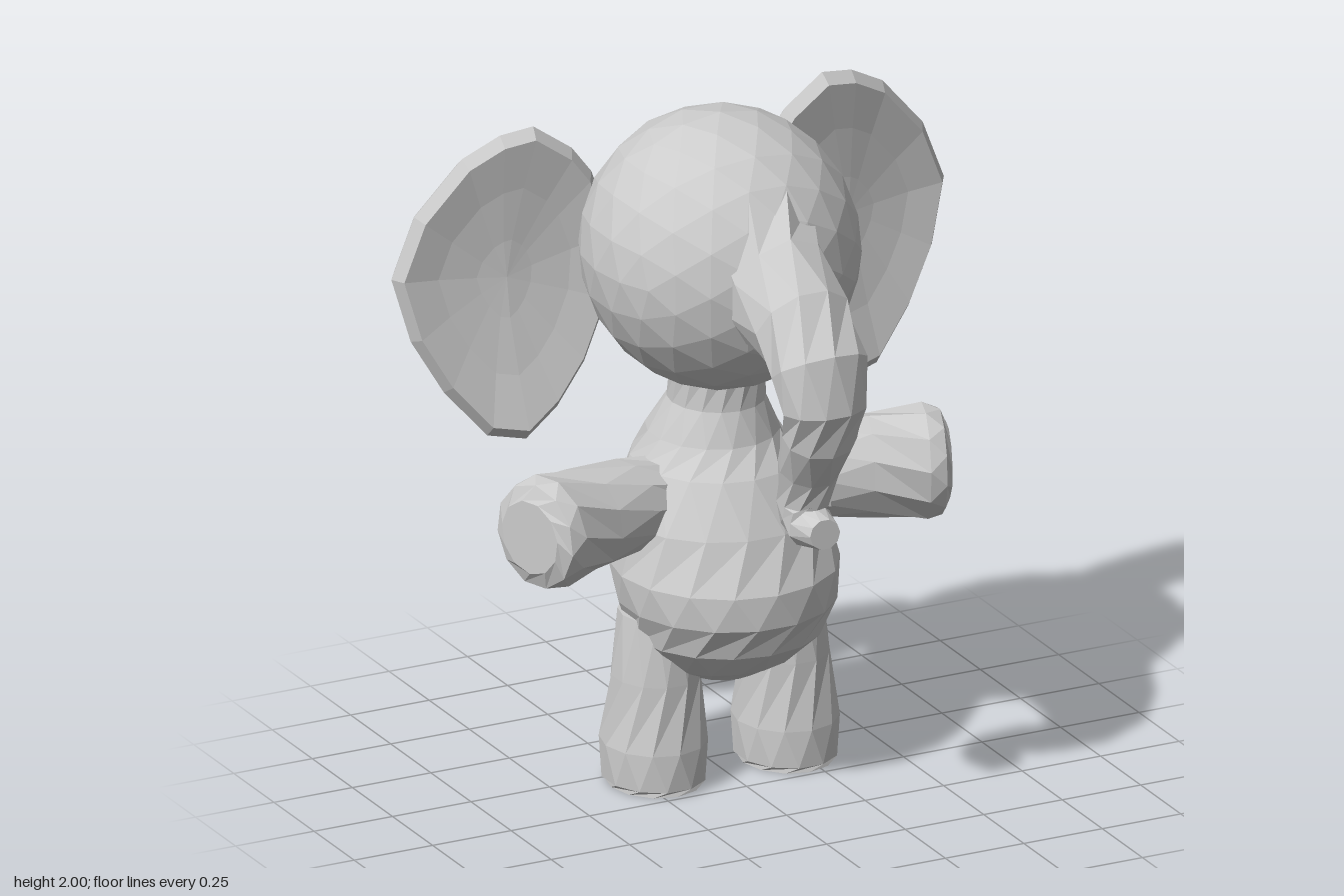
import * as THREE from 'three';

const V = (x, y, z) => new THREE.Vector3(x, y, z);
const X = V(1, 0, 0), Y = V(0, 1, 0);
const material = new THREE.MeshStandardMaterial({ color: 0xcccccc, flatShading: true });

// Closed skin over rings of points; rings run counterclockwise about the direction of travel
function skin(rings) {
  const n = rings[0].length, pos = [], idx = [];
  rings.forEach(r => r.forEach(p => pos.push(p.x, p.y, p.z)));
  for (let i = 0; i < rings.length - 1; i++) {
    for (let j = 0; j < n; j++) {
      const a = i * n + j, b = i * n + (j + 1) % n;
      idx.push(a, b, b + n, a, b + n, a + n);
    }
  }
  [0, rings.length - 1].forEach((i, end) => {
    const c = V(0, 0, 0);
    rings[i].forEach(p => c.addScaledVector(p, 1 / n));
    const k = pos.length / 3;
    pos.push(c.x, c.y, c.z);
    for (let j = 0; j < n; j++) {
      const a = i * n + j, b = i * n + (j + 1) % n;
      end ? idx.push(k, a, b) : idx.push(k, b, a);
    }
  });
  const g = new THREE.BufferGeometry();
  g.setAttribute('position', new THREE.Float32BufferAttribute(pos, 3));
  g.setIndex(idx);
  g.computeVertexNormals();
  return g;
}

// Elliptical sections [x, y, z, radius along ref, radius across]; tangent is fixed or follows the path
function loft(sections, ref, sides, tangent) {
  const c = sections.map(s => V(s[0], s[1], s[2]));
  return skin(sections.map((s, i) => {
    const t = tangent || c[Math.min(i + 1, c.length - 1)].clone().sub(c[Math.max(i - 1, 0)]).normalize();
    const v = t.clone().cross(ref).normalize();
    const u = v.clone().cross(t).normalize();
    return Array.from({ length: sides }, (_, j) => {
      const a = (j + (i % 2) / 2) / sides * Math.PI * 2;
      return c[i].clone().addScaledVector(u, s[3] * Math.cos(a)).addScaledVector(v, s[4] * Math.sin(a));
    });
  }));
}

export function createModel() {
  const model = new THREE.Group();
  model.name = 'toyElephant';
  const add = (name, geometry) => {
    const mesh = new THREE.Mesh(geometry, material);
    mesh.name = name;
    model.add(mesh);
    return mesh;
  };

  // Head
  const head = add('head', new THREE.IcosahedronGeometry(1, 3));
  head.scale.set(0.4, 0.41, 0.415);
  head.position.set(0, 1.59, -0.165);

  // Trunk: flows out of the forehead, hangs down and curls forward at the tip
  add('trunk', loft([
    [0, 1.66, 0.03, 0.2, 0.24], [0, 1.58, 0.2, 0.16, 0.2], [0, 1.53, 0.35, 0.15, 0.145],
    [0, 1.44, 0.455, 0.145, 0.115], [0, 1.325, 0.485, 0.13, 0.095], [0, 1.225, 0.455, 0.112, 0.09],
    [0, 1.11, 0.385, 0.09, 0.088], [0, 1.0, 0.355, 0.078, 0.08], [0, 0.96, 0.37, 0.075, 0.082],
    [0, 0.935, 0.4, 0.07, 0.065], [0, 0.94, 0.49, 0.048, 0.045],
  ], X, 10));

  // Body and neck, as [y, half width, front z, back z]
  add('body', loft([
    [0.31, 0.1, -0.05, -0.23], [0.36, 0.21, 0.04, -0.33], [0.45, 0.28, 0.15, -0.41],
    [0.55, 0.315, 0.2, -0.455], [0.65, 0.328, 0.198, -0.475], [0.8, 0.305, 0.13, -0.485],
    [0.95, 0.24, 0.05, -0.45], [1.03, 0.19, -0.01, -0.415], [1.13, 0.14, -0.04, -0.34],
    [1.26, 0.14, -0.04, -0.32],
  ].map(([y, w, f, b]) => [0, y, (f + b) / 2, w, (f - b) / 2]), X, 16, Y));

  // Ear outline, counterclockwise from the front, and its cupped section [scale, depth]
  const outline = [
    [0.28, 1.78], [0.22, 1.6], [0.24, 1.4], [0.32, 1.22], [0.41, 1.1], [0.51, 1.02], [0.62, 1.04], [0.74, 1.18],
    [0.83, 1.34], [0.88, 1.53], [0.81, 1.71], [0.67, 1.87], [0.56, 1.93], [0.46, 1.945], [0.34, 1.86],
  ];
  const cup = [[0.3, -0.15], [0.65, -0.12], [0.9, -0.06], [1, 0], [0.93, 0.03], [0.6, 0], [0.25, -0.02]];

  for (const [side, s] of [['left', 1], ['right', -1]]) {
    // Ears
    add(side + 'Ear', skin(cup.map(([k, depth]) => {
      const ring = outline.map(([px, py]) => {
        const x = 0.55 + (px - 0.55) * k, y = 1.5 + (py - 1.5) * k;
        const rim = -0.4 - 0.23 * Math.max(px - 0.5, 0) * k - 0.06 * (y - 1.45);
        return V(s * x, y, rim + depth);
      });
      return s > 0 ? ring : ring.reverse();
    })));

    // Arms, held out and slightly forward
    add(side + 'Arm', loft([
      [s * 0.12, 0.86, -0.2, 0.11, 0.12], [s * 0.3, 0.855, -0.165, 0.135, 0.14],
      [s * 0.45, 0.855, -0.125, 0.15, 0.15], [s * 0.6, 0.86, -0.07, 0.17, 0.16],
      [s * 0.645, 0.86, -0.055, 0.155, 0.15], [s * 0.665, 0.86, -0.05, 0.11, 0.11],
    ], Y, 11, V(s * 0.945, 0, 0.325).normalize()));

    // Legs
    add(side + 'Leg', loft([
      [s * 0.21, 0, -0.17, 0.135, 0.155], [s * 0.21, 0.02, -0.17, 0.148, 0.168],
      [s * 0.21, 0.13, -0.17, 0.152, 0.167], [s * 0.205, 0.33, -0.165, 0.128, 0.14],
      [s * 0.2, 0.52, -0.165, 0.11, 0.125],
    ], X, 12, Y));
  }
  return model;
}
